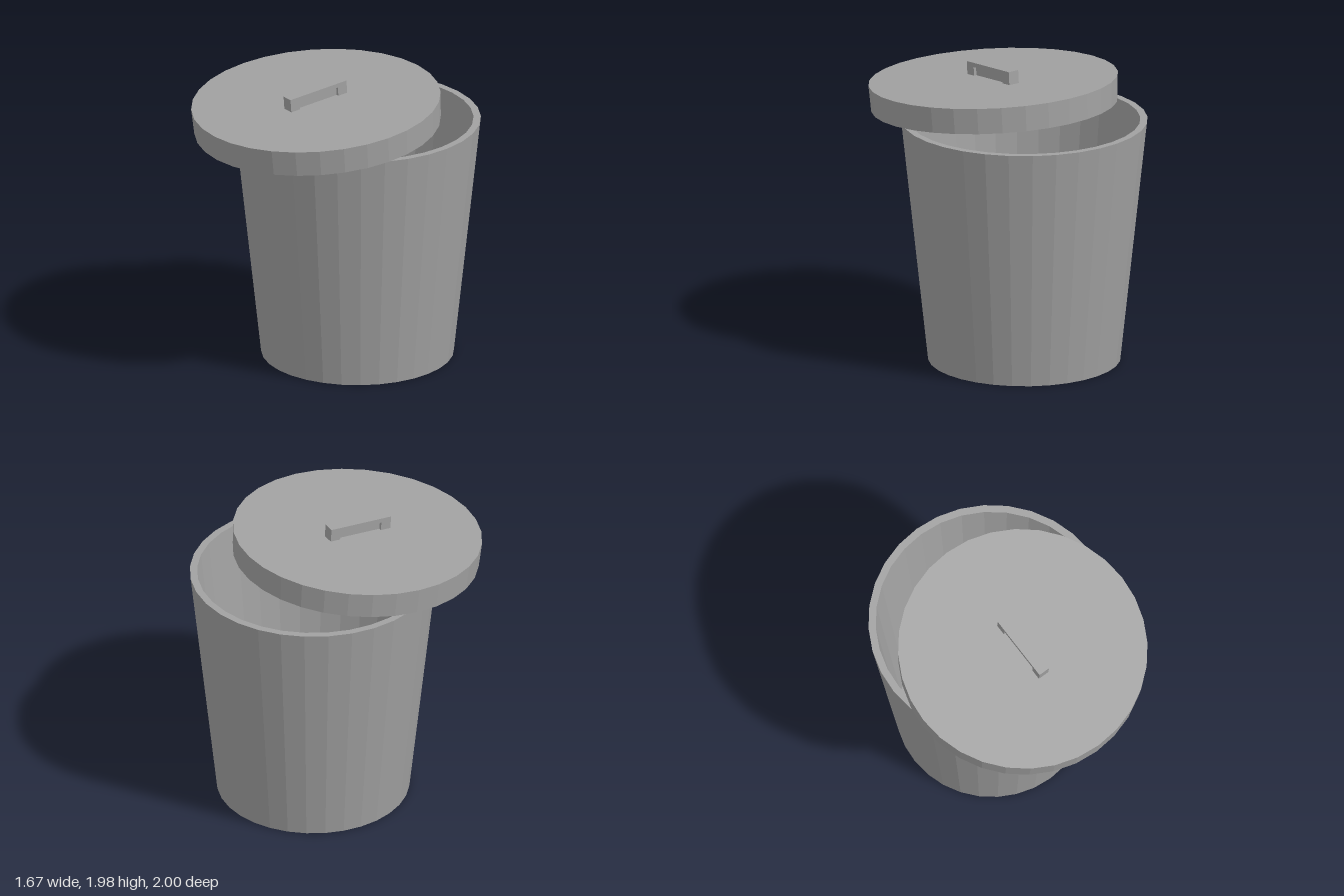
import * as THREE from 'three';

const SIDES = 32;
const material = new THREE.MeshStandardMaterial({ color: 0xa1a1a1, flatShading: true });

// Faceted solid of revolution from [radius, height] pairs, running from the
// underside axis, up the outside and back to the axis
function turned(name, profile) {
  const points = profile.map(([r, y]) => new THREE.Vector2(r, y));
  const mesh = new THREE.Mesh(new THREE.LatheGeometry(points, SIDES), material);
  mesh.name = name;
  return mesh;
}

function box(name, [w, h, d], [x, y, z]) {
  const mesh = new THREE.Mesh(new THREE.BoxGeometry(w, h, d), material);
  mesh.name = name;
  mesh.position.set(x, y, z);
  return mesh;
}

export function createModel() {
  const model = new THREE.Group();
  model.name = 'binWithLid';

  // Tapered open bin with a thick wall and floor
  const bin = turned('bin', [
    [0, 0], [0.645, 0], [0.825, 1.67], [0.776, 1.67], [0.612, 0.06], [0, 0.06],
  ]);
  bin.position.z = -0.175;
  model.add(bin);

  // Lid slid forward and tipped down at the front
  const lid = new THREE.Group();
  lid.name = 'lid';
  lid.position.set(0, 1.869, 0.167);
  lid.rotation.x = 0.079;
  model.add(lid);

  // Hollow cap: ceiling, inner wall, rim, outer wall, top
  lid.add(turned('lidCap', [
    [0, -0.065], [0.815, -0.065], [0.776, -0.176], [0.826, -0.176], [0.836, 0], [0, 0],
  ]));

  // Handle: grip bar, two legs and a recessed web between them
  const handle = new THREE.Group();
  handle.name = 'handle';
  handle.add(box('grip', [0.08, 0.03, 0.46], [0, 0.074, 0]));
  for (const side of [-1, 1]) {
    handle.add(box('handleLeg', [0.08, 0.059, 0.073], [0, 0.0295, side * 0.1935]));
  }
  handle.add(box('handleWeb', [0.04, 0.059, 0.314], [0, 0.0295, 0]));
  lid.add(handle);

  return model;
}
